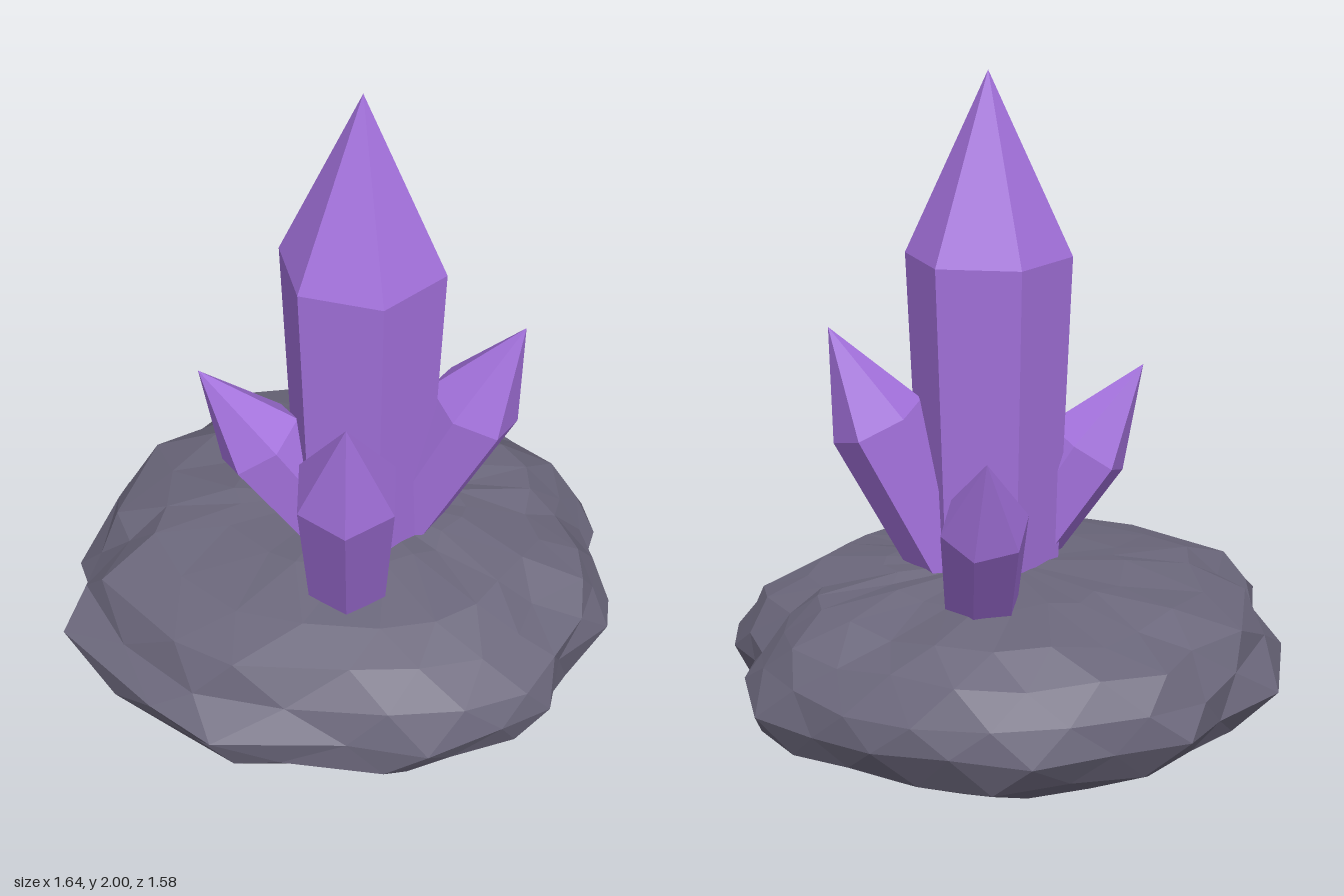
import * as THREE from 'three';

const amethyst = new THREE.MeshStandardMaterial({ color: 0xa371dc, flatShading: true });
amethyst.name = 'amethyst purple';
const stone = new THREE.MeshStandardMaterial({ color: 0x6b677b, flatShading: true });
stone.name = 'stone grey';

// Widest outline of the rock seen from above, as x, z pairs
const OUTLINE = [
  [-0.17, -0.775], [0.05, -0.79], [0.27, -0.74], [0.45, -0.64], [0.63, -0.55], [0.7, -0.38],
  [0.7, -0.26], [0.8, -0.11], [0.82, 0.02], [0.71, 0.2], [0.72, 0.36], [0.61, 0.5],
  [0.43, 0.64], [0.2, 0.68], [-0.17, 0.79], [-0.38, 0.71], [-0.73, 0.51], [-0.73, 0.3],
  [-0.82, 0.17], [-0.81, -0.22], [-0.65, -0.39], [-0.58, -0.6], [-0.38, -0.68],
];

// Rock rings from bottom to top: height and share of the outline
const RINGS = [
  [0, 0.28], [0.03, 0.54], [0.1, 0.8], [0.19, 0.94], [0.29, 1],
  [0.38, 0.96], [0.465, 0.86], [0.53, 0.7], [0.57, 0.42],
];
const WIDEST = 4;

// Repeatable noise from -1 to 1
let seed = 7;
function noise() {
  seed = (seed * 16807) % 2147483647;
  return (seed / 2147483647) * 2 - 1;
}

// Flattened, roughened boulder with staggered rings, its lower half leaning to the front
function makeRock() {
  const n = OUTLINE.length;
  const points = [];
  const faces = [];
  RINGS.forEach(([height, share], k) => {
    for (let i = 0; i < n; i++) {
      const [x0, z0] = OUTLINE[i];
      const [x1, z1] = OUTLINE[(i + 1) % n];
      const t = k % 2 ? 0.5 : 0;
      const s = k === WIDEST ? share : share * (1 + 0.035 * noise());
      const y = k === 0 ? 0 : height + 0.015 * noise() * (k === WIDEST ? 2 : 1);
      points.push(
        s * THREE.MathUtils.lerp(x0, x1, t), y,
        s * THREE.MathUtils.lerp(z0, z1, t) + 0.18 * (0.29 - height),
      );
    }
  });
  // Triangles between neighbouring rings
  for (let k = 0; k < RINGS.length - 1; k++) {
    for (let i = 0; i < n; i++) {
      const j = (i + 1) % n;
      const a = k * n + i, b = k * n + j, c = a + n, d = b + n;
      if (k % 2) faces.push(c, d, a, a, d, b);
      else faces.push(a, c, b, c, d, b);
    }
  }
  // Caps
  const bottom = points.length / 3;
  points.push(0, 0, 0.05, 0, 0.585, -0.05);
  const last = (RINGS.length - 1) * n;
  for (let i = 0; i < n; i++) {
    const j = (i + 1) % n;
    faces.push(bottom, i, j, bottom + 1, last + j, last + i);
  }
  const geo = new THREE.BufferGeometry();
  geo.setAttribute('position', new THREE.Float32BufferAttribute(points, 3));
  geo.setIndex(faces);
  geo.computeVertexNormals();
  const rock = new THREE.Mesh(geo, stone);
  rock.name = 'rockBase';
  return rock;
}

// Six-sided crystal from its base centre to its tip, widest at the shoulder, twisted in degrees
function makeCrystal(name, base, tip, shoulder, rBase, rShoulder, twist) {
  const from = new THREE.Vector3(...base);
  const axis = new THREE.Vector3(...tip).sub(from);
  const len = axis.length();
  const profile = [[0, 0], [rBase, 0], [rShoulder, len * shoulder], [0, len]]
    .map(([x, y]) => new THREE.Vector2(x, y));
  const geo = new THREE.LatheGeometry(profile, 6);
  geo.rotateY(THREE.MathUtils.degToRad(twist));
  const mesh = new THREE.Mesh(geo, amethyst);
  mesh.name = name;
  mesh.position.copy(from);
  mesh.quaternion.setFromUnitVectors(new THREE.Vector3(0, 1, 0), axis.normalize());
  return mesh;
}

export function createModel() {
  const model = new THREE.Group();
  model.name = 'crystalCluster';
  model.add(
    makeRock(),
    makeCrystal('mainCrystal', [0.05, 0.45, 0.02], [0.05, 2, 0.02], 0.665, 0.2, 0.24, 30),
    makeCrystal('frontCrystal', [0.08, 0.48, 0.26], [0.175, 1.36, 0.595], 0.66, 0.123, 0.15, 15),
    makeCrystal('backCrystal', [0.035, 0.48, -0.265], [-0.04, 1.09, -0.685], 0.635, 0.103, 0.123, -5),
    makeCrystal('leftCrystal', [0.115, 0.48, -0.02], [0.497, 1.28, -0.08], 0.65, 0.117, 0.142, -14),
    makeCrystal('rightCrystal', [0.03, 0.5, 0.065], [-0.385, 1.13, 0.18], 0.61, 0.113, 0.135, -15),
  );
  return model;
}
